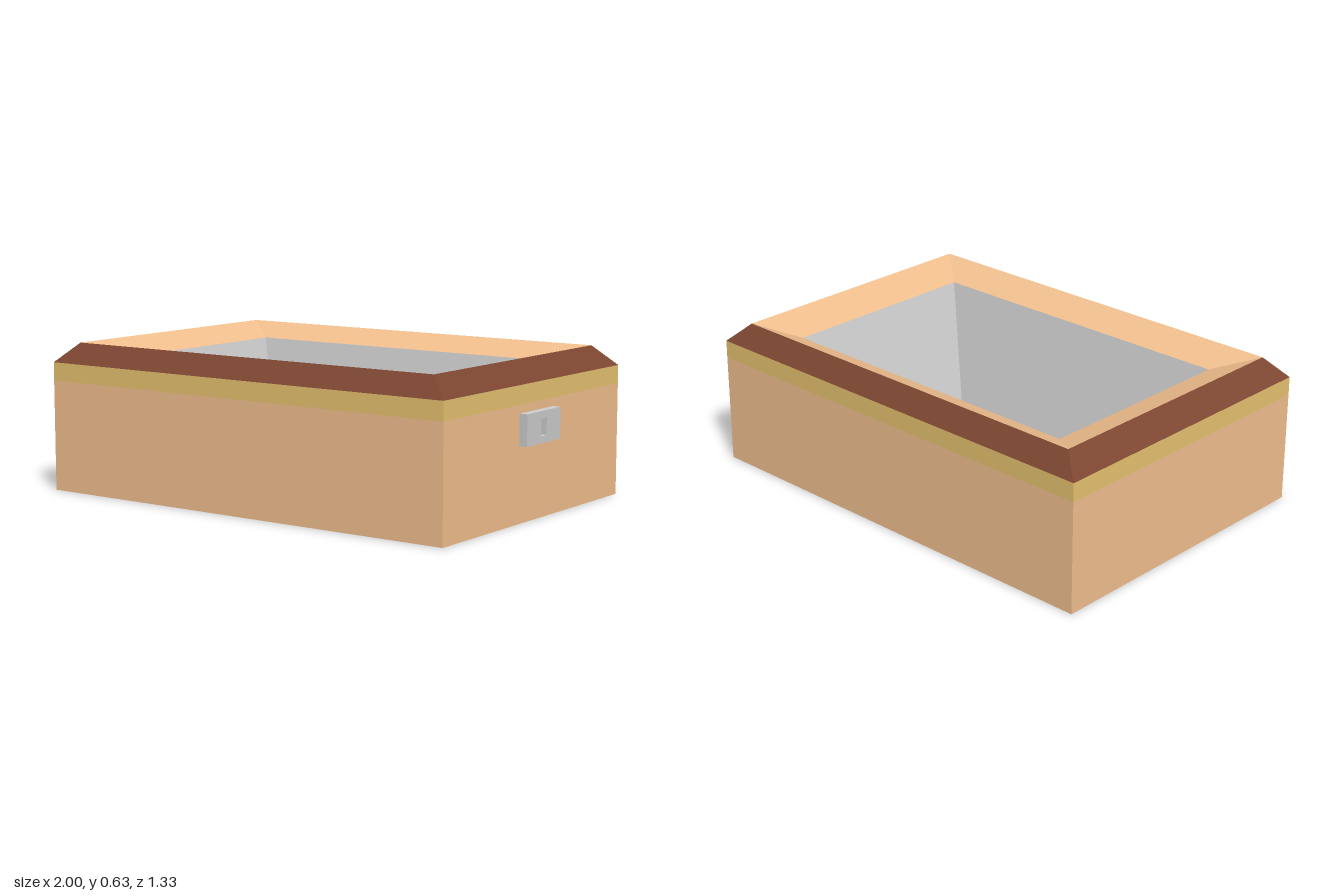
import * as THREE from 'three';

const CX = -0.0175; // the box sits slightly left so the lock plate fits the span

const mat = (color) => new THREE.MeshStandardMaterial({ color, flatShading: true });

// Rectangular ring [halfX, y, halfZ] -> four corners, counter-clockwise from above
function corners([hx, y, hz]) {
  return [[-hx, y, hz], [hx, y, hz], [hx, y, -hz], [-hx, y, -hz]];
}

// Four flat sides joining ring a to ring b
function band(name, a, b, material) {
  const A = corners(a), B = corners(b), pos = [];
  for (let i = 0; i < 4; i++) {
    const j = (i + 1) % 4;
    pos.push(...A[i], ...A[j], ...B[j], ...A[i], ...B[j], ...B[i]);
  }
  const geo = new THREE.BufferGeometry();
  geo.setAttribute('position', new THREE.Float32BufferAttribute(pos, 3));
  geo.computeVertexNormals();
  const mesh = new THREE.Mesh(geo, material);
  mesh.name = name;
  return mesh;
}

// Horizontal rectangle closing a ring, facing up or down
function cap(name, [hx, y, hz], up, material) {
  const geo = new THREE.PlaneGeometry(hx * 2, hz * 2);
  geo.rotateX(up ? -Math.PI / 2 : Math.PI / 2);
  const mesh = new THREE.Mesh(geo, material);
  mesh.position.y = y;
  mesh.name = name;
  return mesh;
}

export function createModel() {
  const wood = mat(0xf0be8d), gold = mat(0xe6c170), dark = mat(0x7c4630), grey = mat(0xcccccc);
  const model = new THREE.Group();
  model.name = 'openChest';

  // Cross-section rings, from the base up the outside and down into the tray
  const base = [0.9825, 0, 0.663];
  const trimLow = [0.9825, 0.47, 0.663];
  const trimTop = [0.9825, 0.547, 0.663];
  const ridge = [0.8925, 0.63, 0.593];
  const lip = [0.7275, 0.57, 0.455];
  const floor = [0.55, 0.02, 0.322];

  const box = new THREE.Group();
  box.name = 'box';
  box.position.x = CX;
  box.add(
    cap('underside', base, false, wood),
    band('outerWalls', base, trimLow, wood),
    band('trimBand', trimLow, trimTop, gold),
    band('bevelledRim', trimTop, ridge, dark),
    band('innerSlope', ridge, lip, wood),
    band('trayWalls', lip, floor, grey),
    cap('trayFloor', floor, true, grey),
  );
  model.add(box);

  // Lock plate on the left end, with a keyhole slot through it
  const plate = new THREE.Shape();
  plate.moveTo(-0.127, -0.064).lineTo(0.127, -0.064).lineTo(0.127, 0.064).lineTo(-0.127, 0.064).closePath();
  const slot = new THREE.Path();
  slot.moveTo(-0.021, -0.035).lineTo(-0.021, 0.035).lineTo(0.021, 0.035).lineTo(0.021, -0.035).closePath();
  plate.holes.push(slot);
  const lock = new THREE.Mesh(
    new THREE.ExtrudeGeometry(plate, { depth: 0.035, bevelEnabled: false }), grey);
  lock.name = 'lockPlate';
  lock.rotation.y = Math.PI / 2;
  lock.position.set(0.965, 0.372, 0);
  model.add(lock);

  return model;
}
